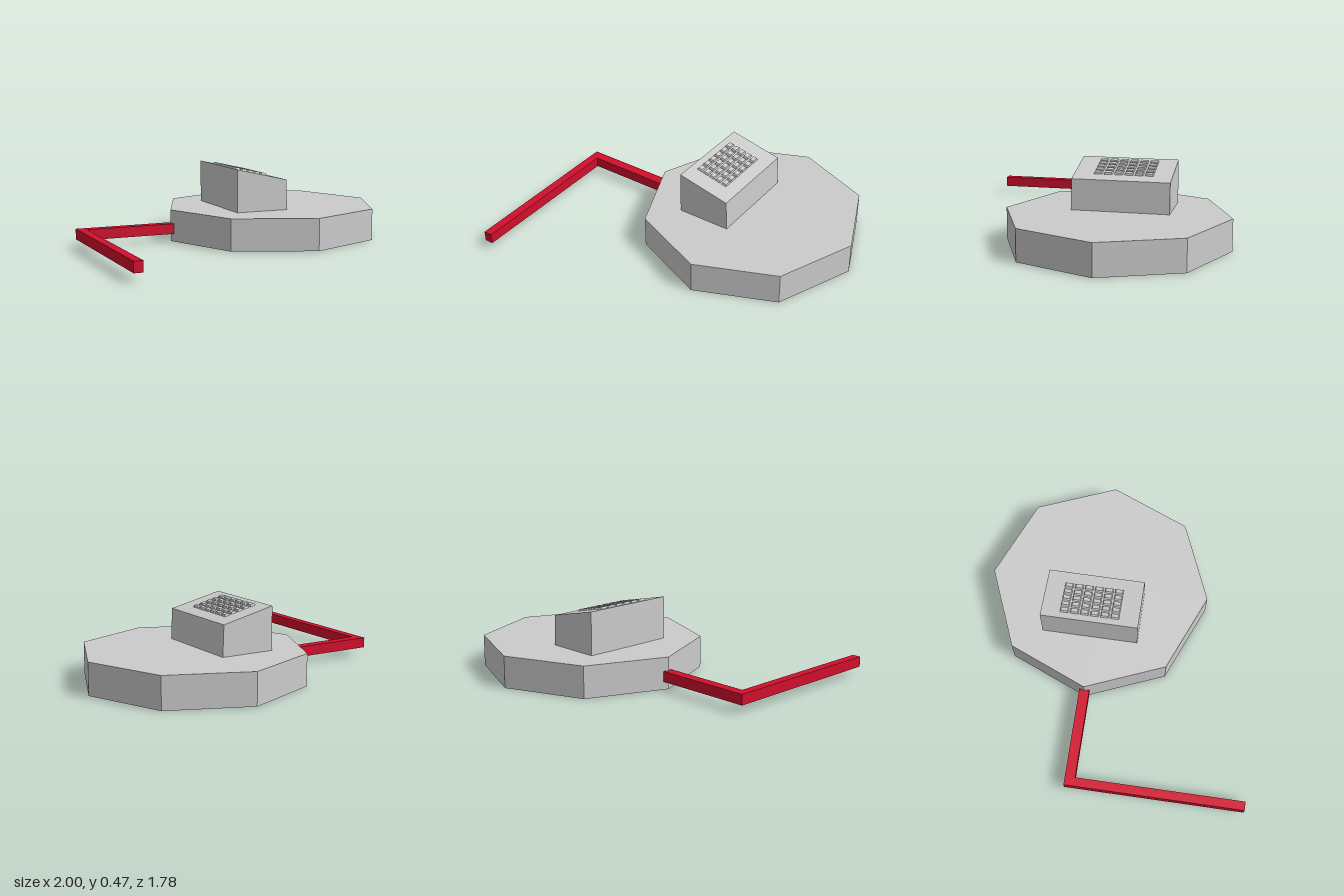
import * as THREE from 'three';

const grey = new THREE.MeshStandardMaterial({ color: 0xcccccc, flatShading: true });
const red = new THREE.MeshStandardMaterial({ color: 0xd00f2c, flatShading: true });

function add(parent, name, geometry, material, x = 0, y = 0, z = 0) {
  const mesh = new THREE.Mesh(geometry, material);
  mesh.name = name;
  mesh.position.set(x, y, z);
  parent.add(mesh);
  return mesh;
}

function polygon(points) {
  return new THREE.Shape(points.map(([x, y]) => new THREE.Vector2(x, y)));
}

// Box whose top face is narrowed to make a bevelled key
function keyGeometry(w, h, d, inset) {
  const geometry = new THREE.BoxGeometry(w, h, d);
  const p = geometry.attributes.position;
  for (let i = 0; i < p.count; i++) {
    if (p.getY(i) > 0) {
      p.setX(i, p.getX(i) - Math.sign(p.getX(i)) * inset);
      p.setZ(i, p.getZ(i) - Math.sign(p.getZ(i)) * inset);
    }
  }
  geometry.computeVertexNormals();
  return geometry;
}

export function createModel() {
  const model = new THREE.Group();
  model.name = 'console';

  // Octagonal base
  add(model, 'base', new THREE.CylinderGeometry(0.695, 0.695, 0.2, 8), grey, 0.305, 0.1, -0.195);

  // Pedestal with a sloping top
  const profile = polygon([[-0.055, 0.2], [0.29, 0.2], [0.283, 0.392], [-0.055, 0.47]]);
  const pedestal = new THREE.ExtrudeGeometry(profile, { depth: 0.605, bevelEnabled: false });
  add(model, 'pedestal', pedestal, grey, 0, 0, -0.51);

  // Keypad lying on the slope
  const keypad = new THREE.Group();
  keypad.name = 'keypad';
  keypad.position.set(0.094, 0.436, -0.21);
  keypad.rotation.z = -Math.atan2(0.078, 0.338);
  model.add(keypad);
  const key = keyGeometry(0.042, 0.018, 0.058, 0.008);
  for (let col = 0; col < 5; col++) {
    for (let row = 0; row < 6; row++) {
      add(keypad, 'key', key, grey, (col - 2) * 0.046, 0.002, (row - 2.5) * 0.063);
    }
  }

  // Bent bar reaching out from the base and turning forward
  const bend = polygon([[-0.38, 0.227], [-1, 0.227], [-1, -0.887], [-0.945, -0.887], [-0.945, 0.163], [-0.38, 0.163]]);
  const bar = new THREE.ExtrudeGeometry(bend, { depth: 0.065, bevelEnabled: false });
  bar.rotateX(-Math.PI / 2);
  add(model, 'bar', bar, red, 0, 0.05, 0);

  return model;
}
